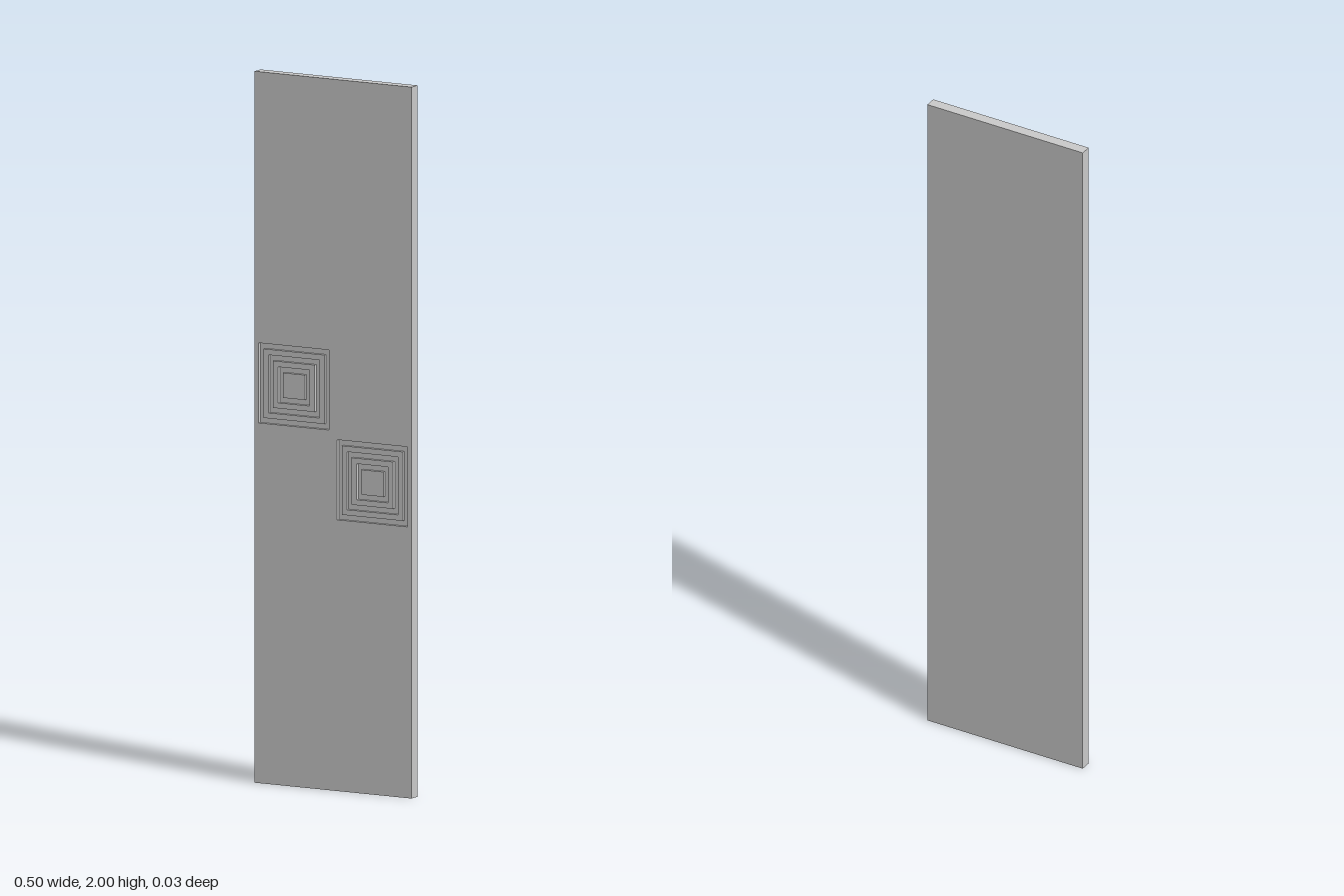
import * as THREE from 'three';

const W = 0.5, H = 2, T = 0.032, DEPTH = 0.01;
const OUTER = 0.1125, STEP = 0.0155; // half-size of a motif, width of each groove and ridge

function rect(Type, cx, cy, hw, hh) {
  const r = new Type();
  r.moveTo(cx - hw, cy - hh);
  r.lineTo(cx + hw, cy - hh);
  r.lineTo(cx + hw, cy + hh);
  r.lineTo(cx - hw, cy + hh);
  r.closePath();
  return r;
}

export function createModel() {
  const group = new THREE.Group();
  group.name = 'doorPanel';
  const material = new THREE.MeshStandardMaterial({ color: 0xcccccc });

  function add(name, geometry, z) {
    const mesh = new THREE.Mesh(geometry, material);
    mesh.name = name;
    mesh.position.z = z;
    group.add(mesh);
    return mesh;
  }
  const extrude = (shapes) => new THREE.ExtrudeGeometry(shapes, { depth: DEPTH, bevelEnabled: false });
  const frontZ = T / 2 - DEPTH;

  // Backing slab, which is also the floor of the grooves
  add('slab', new THREE.BoxGeometry(W, H, T - DEPTH), -DEPTH / 2).position.y = H / 2;

  // Front layer with two square recesses on a diagonal
  const motifs = [[-0.125, 1.125, 'rightMotif'], [0.125, 0.875, 'leftMotif']];
  const face = rect(THREE.Shape, 0, H / 2, W / 2, H / 2);
  for (const [x, y] of motifs) face.holes.push(rect(THREE.Path, x, y, OUTER, OUTER));
  add('frontFace', extrude(face), frontZ);

  // Concentric square ridges and a solid centre, flush with the front
  for (const [x, y, name] of motifs) {
    const ridges = [1, 3, 5].map((i) => {
      const half = OUTER - i * STEP;
      const ridge = rect(THREE.Shape, x, y, half, half);
      if (i < 5) ridge.holes.push(rect(THREE.Path, x, y, half - STEP, half - STEP));
      return ridge;
    });
    add(name, extrude(ridges), frontZ);
  }
  return group;
}
